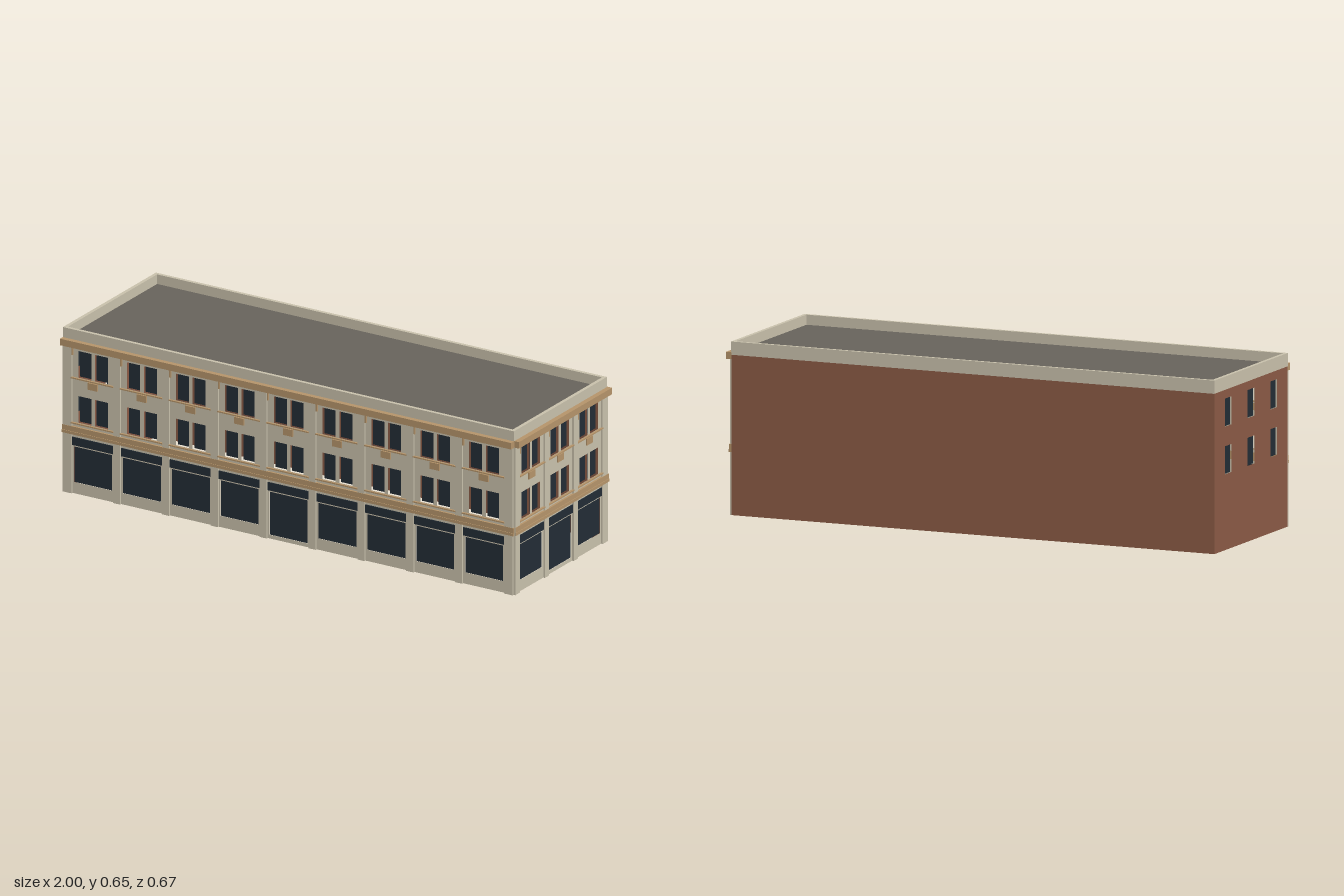
import * as THREE from 'three';

const mat = (name, color) => {
  const m = new THREE.MeshStandardMaterial({ color, side: THREE.DoubleSide });
  m.name = name;
  return m;
};

// Outer wall planes and heights
const LEFT = -1, RIGHT = 0.977, BACK = -0.334, FRONT = 0.313;
const WALL_TOP = 0.605, TOP = 0.655, ROOF = 0.617;
const FLOORS = [[0.286, 0.392], [0.466, 0.572]];

export function createModel() {
  const stone = mat('pale stone', 0xc8c0ab);
  const trim = mat('tan trim', 0xb5946a);
  const brick = mat('brick', 0x8a5a45);
  const glass = mat('dark glass', 0x222c35);
  const roofing = mat('grey roofing', 0x67635b);
  const model = new THREE.Group();

  // Box given by its extents
  function box(parent, name, material, x0, x1, y0, y1, z0, z1) {
    const mesh = new THREE.Mesh(new THREE.BoxGeometry(x1 - x0, y1 - y0, z1 - z0), material);
    mesh.position.set((x0 + x1) / 2, (y0 + y1) / 2, (z0 + z1) / 2);
    mesh.name = name;
    parent.add(mesh);
  }

  // Thin wall with rectangular openings [x0, x1, y0, y1, recess] and set-back panes
  function wall(parent, name, material, x0, x1, openings) {
    const shape = new THREE.Shape([[x0, 0], [x1, 0], [x1, WALL_TOP], [x0, WALL_TOP]]
      .map(p => new THREE.Vector2(...p)));
    for (const [a, b, c, d, recess] of openings) {
      shape.holes.push(new THREE.Path([[a, c], [a, d], [b, d], [b, c]]
        .map(p => new THREE.Vector2(...p))));
      const pane = new THREE.Mesh(new THREE.PlaneGeometry(b - a, d - c), glass);
      pane.position.set((a + b) / 2, (c + d) / 2, -recess);
      pane.name = 'windowPane';
      parent.add(pane);
    }
    const mesh = new THREE.Mesh(new THREE.ShapeGeometry(shape), material);
    mesh.name = name;
    parent.add(mesh);
  }

  // Street facade in local space: x along the wall, z outward
  function facade(name, x0, x1, first, pitch, count, bayWidth) {
    const g = new THREE.Group();
    g.name = name;
    const openings = [];
    const half = bayWidth / 2;
    let pilasterStart = x0;
    for (let i = 0; i < count; i++) {
      const c = first + i * pitch;
      const doorBay = i === (count - 1) / 2;
      // Shop window and the sign panel above it
      openings.push([c - half + 0.008, c + half - 0.008, doorBay ? 0.015 : 0.045, 0.187, 0.002]);
      box(g, 'signPanel', glass, c - half + 0.001, c + half - 0.001, 0.193, 0.225, 0, 0.004);
      // Paired upper windows with sills
      for (const [y0, y1] of FLOORS) {
        openings.push([c - 0.065, c - 0.008, y0, y1, 0.012]);
        openings.push([c + 0.008, c + 0.065, y0, y1, 0.012]);
        box(g, 'sill', trim, c - half - 0.002, c + half + 0.002, y0 - 0.006, y0 - 0.001, 0, 0.0085);
      }
      box(g, 'plaque', trim, c - 0.021, c + 0.021, 0.429, 0.456, 0, 0.006);
      box(g, 'bracket', trim, c - half, c - half + 0.006, 0.553, 0.589, 0, 0.0068);
      box(g, 'pilaster', stone, pilasterStart, c - half, 0, 0.589, 0, 0.007);
      pilasterStart = c + half;
    }
    box(g, 'pilaster', stone, pilasterStart, x1, 0, 0.589, 0, 0.007);
    wall(g, 'streetWall', stone, x0, x1, openings);
    // Band over the shops and main cornice
    box(g, 'bandFoot', trim, x0, x1 + 0.004, 0.238, 0.249, 0, 0.011);
    box(g, 'band', trim, x0, x1 + 0.004, 0.249, 0.269, 0, 0.0085);
    box(g, 'cornice', trim, x0, x1 + 0.003, 0.589, 0.615, 0, 0.023);
    model.add(g);
    return g;
  }

  const front = facade('frontFacade', LEFT, RIGHT, -0.869, 0.2145, 9, 0.183);
  front.position.z = FRONT;
  const side = facade('sideFacade', -FRONT, -BACK, -0.1925, 0.202, 3, 0.172);
  side.rotation.y = Math.PI / 2;
  side.position.x = RIGHT;

  // Plain brick wall at the back
  const back = new THREE.Group();
  back.name = 'backBrickWall';
  wall(back, 'brickWall', brick, -RIGHT, -LEFT, []);
  back.rotation.y = Math.PI;
  back.position.z = BACK;
  model.add(back);

  // Brick end wall with single windows
  const end = new THREE.Group();
  end.name = 'endBrickWall';
  const endWindows = [];
  for (const z of [-0.213, -0.0105, 0.192])
    for (const [y0, y1] of FLOORS) endWindows.push([z - 0.029, z + 0.029, y0, y1, 0.006]);
  wall(end, 'brickWall', brick, BACK, FRONT, endWindows);
  end.rotation.y = -Math.PI / 2;
  end.position.x = LEFT;
  model.add(end);

  // Parapet ring and flat roof
  const t = 0.014, px = RIGHT + 0.003, pz = FRONT + 0.003;
  const parapet = new THREE.Group();
  parapet.name = 'parapet';
  box(parapet, 'frontParapet', stone, LEFT, px, WALL_TOP, TOP, pz - t, pz);
  box(parapet, 'backParapet', stone, LEFT, px, WALL_TOP, TOP, BACK, BACK + t);
  box(parapet, 'leftParapet', stone, LEFT, LEFT + t, WALL_TOP, TOP, BACK + t, pz - t);
  box(parapet, 'rightParapet', stone, px - t, px, WALL_TOP, TOP, BACK + t, pz - t);
  model.add(parapet);
  box(model, 'roof', roofing, LEFT + t, px - t, ROOF - 0.006, ROOF, BACK + t, pz - t);
  return model;
}
